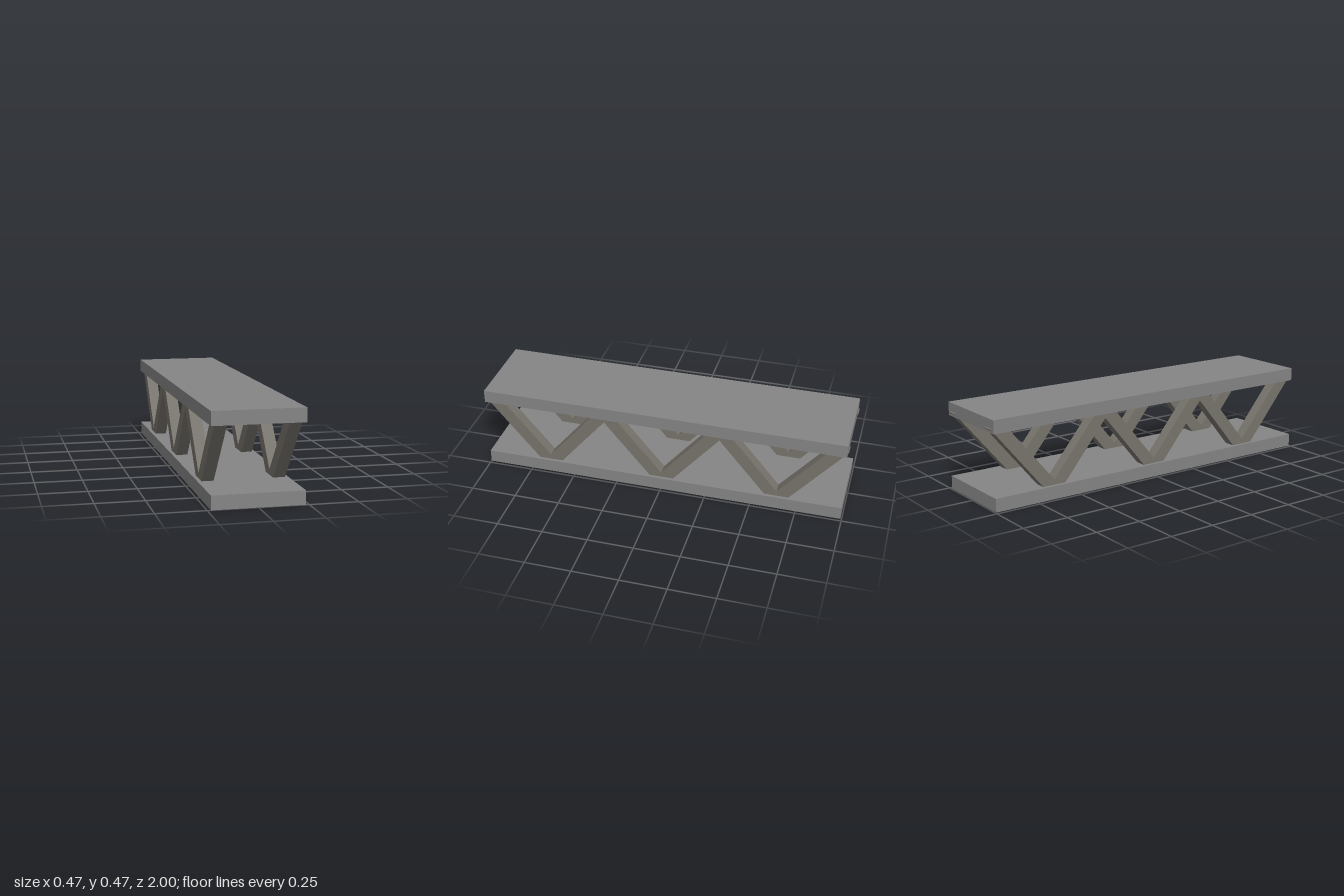
import * as THREE from 'three';

export function createModel() {
  const model = new THREE.Group();
  model.name = 'trussBridge';
  const deckMaterial = new THREE.MeshStandardMaterial({ color: 0x858585 });
  const strutMaterial = new THREE.MeshStandardMaterial({ color: 0x78746d });

  const addBox = (name, size, position, material, tilt = 0) => {
    const mesh = new THREE.Mesh(new THREE.BoxGeometry(...size), material);
    mesh.name = name;
    mesh.position.set(...position);
    mesh.rotation.x = tilt;
    model.add(mesh);
  };

  // Flat decks; the strut tips just break through the back end
  const deckSize = [0.466, 0.071, 1.994];
  addBox('bottomDeck', deckSize, [0, 0.0355, 0.003], deckMaterial);
  addBox('topDeck', deckSize, [0, 0.436, 0.003], deckMaterial);

  // Zigzag of struts along each side
  const pitch = 0.32;
  const lean = THREE.MathUtils.degToRad(40);
  for (const [side, x] of [['left', 0.1845], ['right', -0.1825]]) {
    for (let i = 0; i < 6; i++) {
      const z = (2.5 - i) * pitch;
      const tilt = i % 2 === 0 ? lean : -lean;
      addBox(`${side}Strut${i + 1}`, [0.0625, 0.539, 0.069], [x, 0.236, z], strutMaterial, tilt);
    }
  }
  return model;
}
